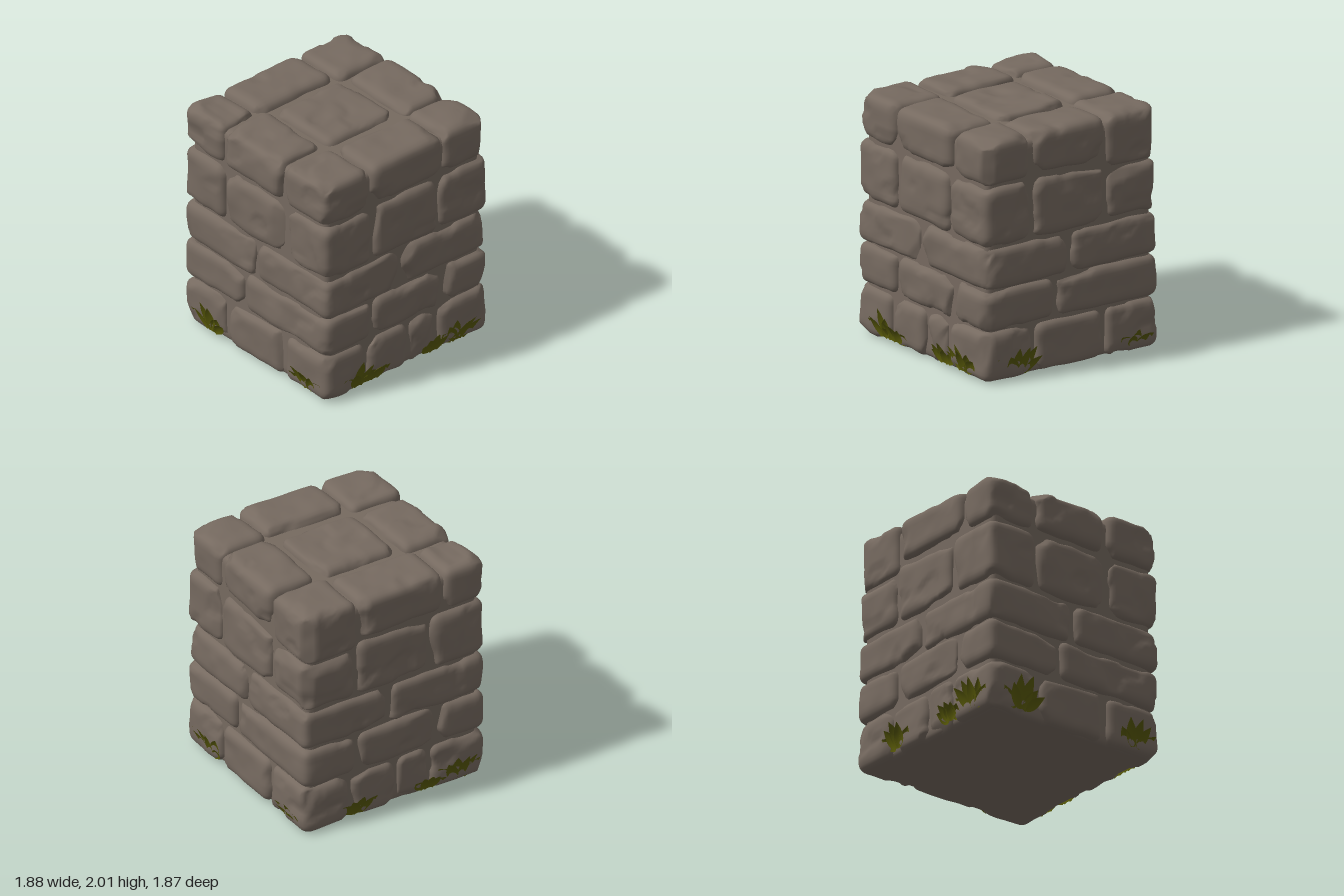
import * as THREE from 'three';
import { mergeVertices } from 'three/addons/utils/BufferGeometryUtils.js';

const stoneMat = new THREE.MeshStandardMaterial({ color: 0x766a60 });
stoneMat.name = 'stone';
const leafMat = new THREE.MeshStandardMaterial({ color: 0x595a08, side: THREE.DoubleSide });
leafMat.name = 'leaf green';

// Seeded random numbers and smooth value noise
function seeded(seed) {
  let s = seed;
  return () => {
    s = (s * 16807) % 2147483647;
    return s / 2147483647;
  };
}
function hash(i, j, k) {
  const n = Math.sin(i * 127.1 + j * 311.7 + k * 74.7) * 43758.5453;
  return n - Math.floor(n);
}
function noise(x, y, z) {
  const i = Math.floor(x), j = Math.floor(y), k = Math.floor(z);
  const fade = (t) => t * t * (3 - 2 * t);
  const u = fade(x - i), v = fade(y - j), w = fade(z - k);
  const mix = THREE.MathUtils.lerp;
  const layer = (q) => mix(
    mix(hash(i, j, q), hash(i + 1, j, q), u),
    mix(hash(i, j + 1, q), hash(i + 1, j + 1, q), u), v);
  return mix(layer(k), layer(k + 1), w);
}

// Rounded block with worn faces and a few chiselled corners
let stoneCount = 0;
function stone(name, x0, x1, y0, y1, z0, z1, radius = 0.075, wear = 1) {
  const rand = seeded(977 + 7919 * ++stoneCount);
  for (let i = 0; i < 5; i++) rand();
  const size = new THREE.Vector3(x1 - x0, y1 - y0, z1 - z0);
  const centre = new THREE.Vector3(x0 + x1, y0 + y1, z0 + z1).multiplyScalar(0.5);
  const seg = (s) => Math.ceil(s / 0.036);
  let geo = new THREE.BoxGeometry(size.x, size.y, size.z, seg(size.x), seg(size.y), seg(size.z));
  geo.deleteAttribute('uv');
  geo.deleteAttribute('normal');
  geo = mergeVertices(geo);

  const inner = size.clone().multiplyScalar(0.5).subScalar(radius);
  const chips = [];
  for (let i = 0; i < 7; i++) {
    const n = new THREE.Vector3(rand() - 0.5, rand() - 0.5, rand() - 0.5).normalize();
    const reach = Math.abs(n.x) * inner.x + Math.abs(n.y) * inner.y + Math.abs(n.z) * inner.z + radius;
    chips.push({ n, limit: reach - 0.005 - 0.035 * rand() });
  }

  const pos = geo.attributes.position;
  const p = new THREE.Vector3(), core = new THREE.Vector3(), dir = new THREE.Vector3();
  for (let i = 0; i < pos.count; i++) {
    p.fromBufferAttribute(pos, i);
    core.copy(p).clamp(inner.clone().negate(), inner);
    dir.copy(p).sub(core).normalize();
    p.copy(core).addScaledVector(dir, radius);
    if (wear) {
      for (const c of chips) {
        const over = p.dot(c.n) - c.limit;
        if (over > 0) p.addScaledVector(c.n, -over);
      }
      const q = p.clone().add(centre).multiplyScalar(4).addScalar(40 + stoneCount * 3.7);
      const ledge = THREE.MathUtils.smoothstep(noise(q.x * 1.2, q.y * 1.6, q.z * 1.2), 0.66, 0.74);
      const bumps = 0.026 * (noise(q.x, q.y, q.z) - 0.45) + 0.01 * (noise(q.x * 2.5, q.y * 2.5, q.z * 2.5) - 0.5);
      p.addScaledVector(dir, bumps - 0.014 * ledge);
    }
    p.add(centre);
    pos.setXYZ(i, p.x, Math.max(p.y, 0), p.z);
  }
  geo.computeVertexNormals();
  const mesh = new THREE.Mesh(geo, stoneMat);
  mesh.name = name;
  return mesh;
}

// Courses: joints along the front (x, rising) and right side (z, falling)
const E = 0.85, GAP = 0.012, DEPTH = 0.38;
const courses = [
  { y: [0.005, 0.41], front: [-0.41, 0.03, 0.33], side: [0.36, -0.32] },
  { y: [0.42, 0.76], front: [-0.35, 0.39], side: [0.15] },
  { y: [0.765, 1.11], front: [-0.05], side: [0.01] },
  { y: [1.125, 1.61], front: [-0.35, 0.34], side: [0.38, -0.34], backTop: 1.54 },
];

function buildCourse({ y, front, side, backTop }, index) {
  const group = new THREE.Group();
  group.name = `stoneCourse${index + 1}`;
  const lastX = front[front.length - 1], lastZ = side[side.length - 1];
  // the opposite two faces repeat the pattern turned half way round
  for (const s of [1, -1]) {
    const add = (name, x0, x1, z0, z1, top = y[1]) => {
      const xs = [s * x0, s * x1].sort((a, b) => a - b);
      const zs = [s * z0, s * z1].sort((a, b) => a - b);
      group.add(stone(name, xs[0] + GAP * (xs[0] > -E), xs[1] - GAP * (xs[1] < E), y[0], top,
        zs[0] + GAP * (zs[0] > -E), zs[1] - GAP * (zs[1] < E)));
    };
    add('cornerStone', lastX, E, side[0], E);
    add('cornerStone', -front[0], E, -E, lastZ, s > 0 && backTop ? backTop : y[1]);
    for (let i = 0; i + 1 < front.length; i++) add('faceStone', front[i], front[i + 1], E - DEPTH, E);
    for (let i = 0; i + 1 < side.length; i++) add('faceStone', E - DEPTH, E, side[i + 1], side[i]);
  }
  return group;
}

// Cap stones: x0, x1, z0, z1 and underside height
const caps = [
  [-0.85, -0.475, -0.85, -0.4, 1.63], [-0.455, 0.32, -0.86, -0.4, 1.64], [0.335, 0.84, -0.85, -0.345, 1.55],
  [-0.86, -0.4, -0.38, 0.29, 1.64], [-0.36, 0.335, -0.33, 0.32, 1.64], [0.39, 0.84, -0.33, 0.375, 1.64],
  [-0.86, -0.375, 0.335, 0.84, 1.62], [-0.365, 0.37, 0.395, 0.85, 1.64], [0.385, 0.84, 0.39, 0.84, 1.62],
];

// Pointed leaf that widens in the middle and bends outward
function leafGeometry(length, width, bend) {
  const geo = new THREE.PlaneGeometry(1, 1, 4, 8);
  const pos = geo.attributes.position;
  for (let i = 0; i < pos.count; i++) {
    const u = pos.getX(i) * 2, t = pos.getY(i) + 0.5;
    const half = 0.5 * width * Math.sin(Math.PI * (0.13 + 0.87 * t));
    pos.setXYZ(i, u * half, t * length, bend * t * t + 0.25 * half * u * u);
  }
  geo.computeVertexNormals();
  return geo;
}

function tuft(height, spread, seed) {
  const rand = seeded(seed * 3571 + 11);
  for (let i = 0; i < 5; i++) rand();
  const group = new THREE.Group();
  group.name = 'grassTuft';
  const count = height > 0.25 ? 6 : 5;
  for (let i = 0; i < count; i++) {
    const f = (i / (count - 1)) * 2 - 1;
    const length = height * (1 - 0.22 * Math.abs(f)) * (0.82 + 0.25 * rand());
    const leaf = new THREE.Mesh(leafGeometry(length, 0.085 + 0.025 * rand(), 0.05 + 0.04 * rand()), leafMat);
    leaf.name = 'leaf';
    leaf.position.set(f * spread * 0.3, 0, 0.012 * (i % 2));
    leaf.rotation.set(0.06 + 0.1 * rand(), f * 0.3, -f * 0.75);
    group.add(leaf);
  }
  return group;
}

// Tufts: turn about y, offset along the face, height, half spread
const FRONT = 0, RIGHT = Math.PI / 2, BACK = Math.PI, LEFT = -Math.PI / 2;
const tufts = [
  [FRONT, -0.51, 0.25, 0.11], [FRONT, -0.34, 0.19, 0.1], [FRONT, 0.28, 0.19, 0.11], [FRONT, 0.53, 0.27, 0.16],
  [RIGHT, -0.52, 0.27, 0.17], [RIGHT, 0.62, 0.19, 0.13],
  [BACK, 0.6, 0.27, 0.15], [BACK, 0.32, 0.18, 0.11], [BACK, -0.34, 0.22, 0.11],
  [LEFT, -0.54, 0.27, 0.16], [LEFT, 0.61, 0.24, 0.13],
];

export function createModel() {
  const model = new THREE.Group();
  model.name = 'stoneBlock';

  // mortar filling the joints
  model.add(stone('mortarCore', -0.805, 0.8, 0, 1.935, -0.805, 0.8, 0.06, 0));
  courses.forEach((c, i) => model.add(buildCourse(c, i)));

  const capCourse = new THREE.Group();
  capCourse.name = 'capStones';
  for (const [x0, x1, z0, z1, y] of caps) capCourse.add(stone('capStone', x0, x1, y, 1.995, z0, z1));
  model.add(capCourse);

  // grass round the foot
  tufts.forEach(([turn, along, height, spread], i) => {
    const holder = new THREE.Group();
    holder.name = 'grass';
    holder.rotation.y = turn;
    const t = tuft(height, spread, i + 1);
    t.position.set(along, 0.04, 0.825);
    holder.add(t);
    model.add(holder);
  });
  return model;
}
